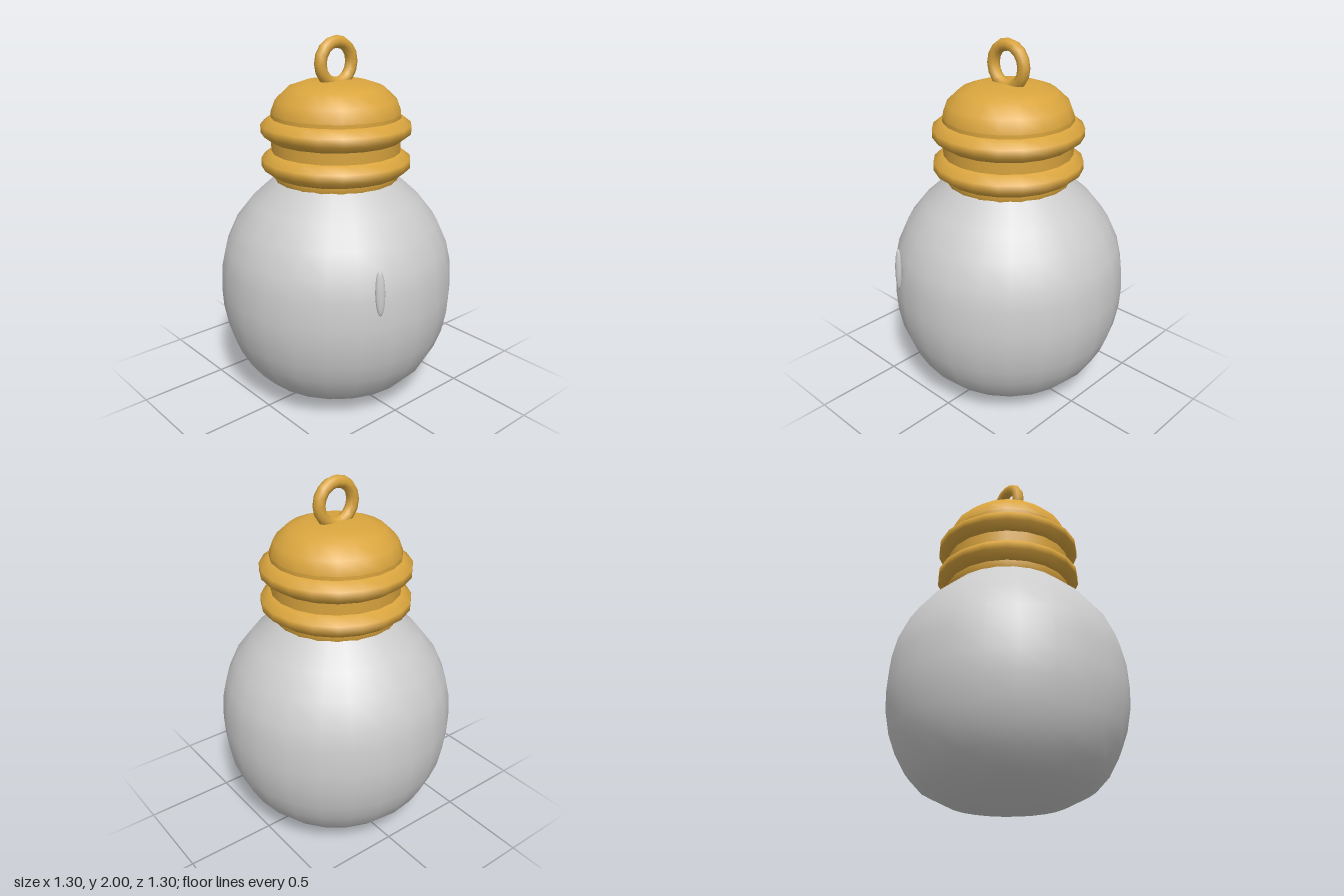
import * as THREE from 'three';

export function createModel() {
  const model = new THREE.Group();
  const glass = new THREE.MeshStandardMaterial({ color: 0xcccccc });
  glass.name = 'pale grey';
  const gold = new THREE.MeshStandardMaterial({ color: 0xdaa53e });
  gold.name = 'gold';

  const add = (name, geometry, material, x = 0, y = 0, z = 0) => {
    const mesh = new THREE.Mesh(geometry, material);
    mesh.name = name;
    mesh.position.set(x, y, z);
    model.add(mesh);
    return mesh;
  };
  // Profiles run from bottom to top as [radius, height]
  const lathe = (profile, sides) =>
    new THREE.LatheGeometry(profile.map(([r, y]) => new THREE.Vector2(r, y)), sides);

  // Round body, running up inside the cap
  add('body', lathe([
    [0, 0], [0.17, 0.024], [0.313, 0.05], [0.455, 0.12], [0.53, 0.2], [0.585, 0.3],
    [0.622, 0.4], [0.645, 0.52], [0.651, 0.63], [0.642, 0.77], [0.617, 0.88],
    [0.558, 1.01], [0.463, 1.13], [0.335, 1.245], [0.3, 1.28],
  ], 24), glass);

  // Raised shine mark on the front
  const shine = add('shineMark', new THREE.SphereGeometry(1, 10, 12), glass, -0.238, 0.823, 0.603);
  shine.scale.set(0.027, 0.122, 0.018);
  shine.rotation.set(-0.05, -0.35, 0);

  // Cap: neck, two bands and a dome
  add('neck', lathe([[0.333, 1.235], [0.35, 1.28], [0.35, 1.6]], 20), gold);
  const band = lathe([
    [0.32, -0.06], [0.355, -0.06], [0.405, -0.022], [0.405, 0.022],
    [0.355, 0.06], [0.32, 0.06],
  ], 20);
  for (const [name, y] of [['lowerBand', 1.337], ['upperBand', 1.52]]) add(name, band, gold, 0, y);
  add('dome', lathe([
    [0.35, 1.57], [0.348, 1.61], [0.325, 1.67], [0.255, 1.735],
    [0.17, 1.764], [0, 1.77],
  ], 20), gold);

  // Hanging loop
  add('hangingLoop', new THREE.TorusGeometry(0.107, 0.033, 8, 16), gold, 0, 1.86);

  return model;
}
